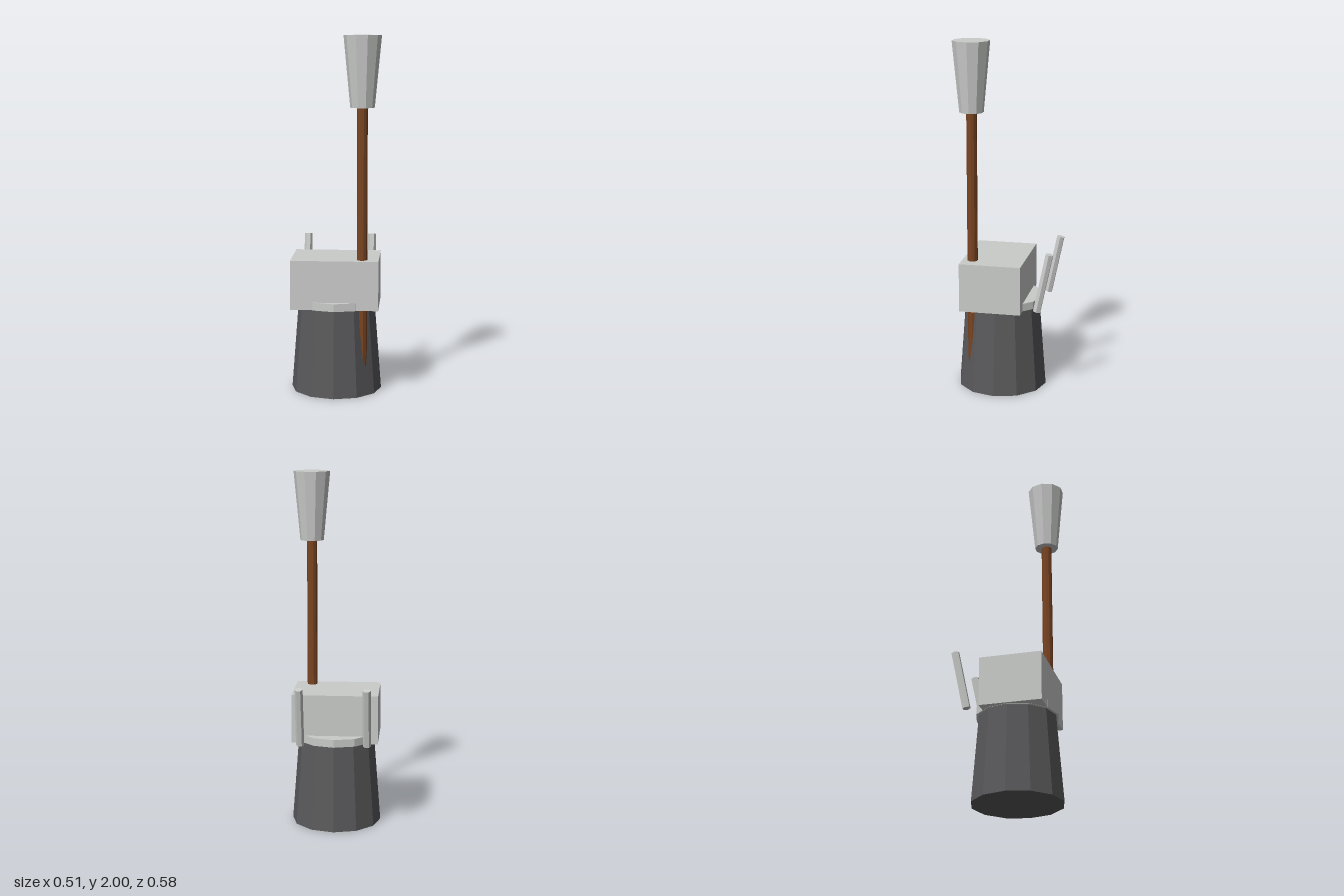
import * as THREE from 'three';

export function createModel() {
  const model = new THREE.Group();

  const material = (name, color) => {
    const m = new THREE.MeshStandardMaterial({ color });
    m.name = name;
    return m;
  };
  const steel = material('light grey', 0xcaccca);
  const iron = material('dark grey', 0x5a5a5c);
  const wood = material('brown', 0x7a4522);

  const add = (name, geometry, mat, x, y, z) => {
    const flat = geometry.toNonIndexed();
    flat.computeVertexNormals(); // faceted look
    const mesh = new THREE.Mesh(flat, mat);
    mesh.name = name;
    mesh.position.set(x, y, z);
    model.add(mesh);
    return mesh;
  };

  // Faceted cylinder between two heights, with a corner on the x axis
  const prism = (rTop, rBottom, height, sides) =>
    new THREE.CylinderGeometry(rTop, rBottom, height, sides).rotateY(Math.PI / 2);

  // Tapered base and the plate on top of it
  add('base', prism(0.217, 0.255, 0.49, 12), iron, 0, 0.245, 0.032);
  add('basePlate', prism(0.232, 0.232, 0.044, 12), steel, 0, 0.512, 0.032);

  // Block
  add('block', new THREE.BoxGeometry(0.488, 0.277, 0.348), steel, 0, 0.6295, 0.056);

  // Rod running down through the block into the base, with a flared head
  add('rod', prism(0.029, 0.029, 1.52, 10), wood, 0.151, 0.86, 0.172);
  add('rodHead', prism(0.104, 0.067, 0.39, 10), steel, 0.151, 1.805, 0.172);

  // Pair of pegs leaning backwards
  for (const side of [-1, 1]) {
    const peg = add(side > 0 ? 'leftPeg' : 'rightPeg',
      prism(0.023, 0.023, 0.342, 6), steel, side * 0.187, 0.67, -0.237);
    peg.rotation.x = -0.205;
  }

  return model;
}
